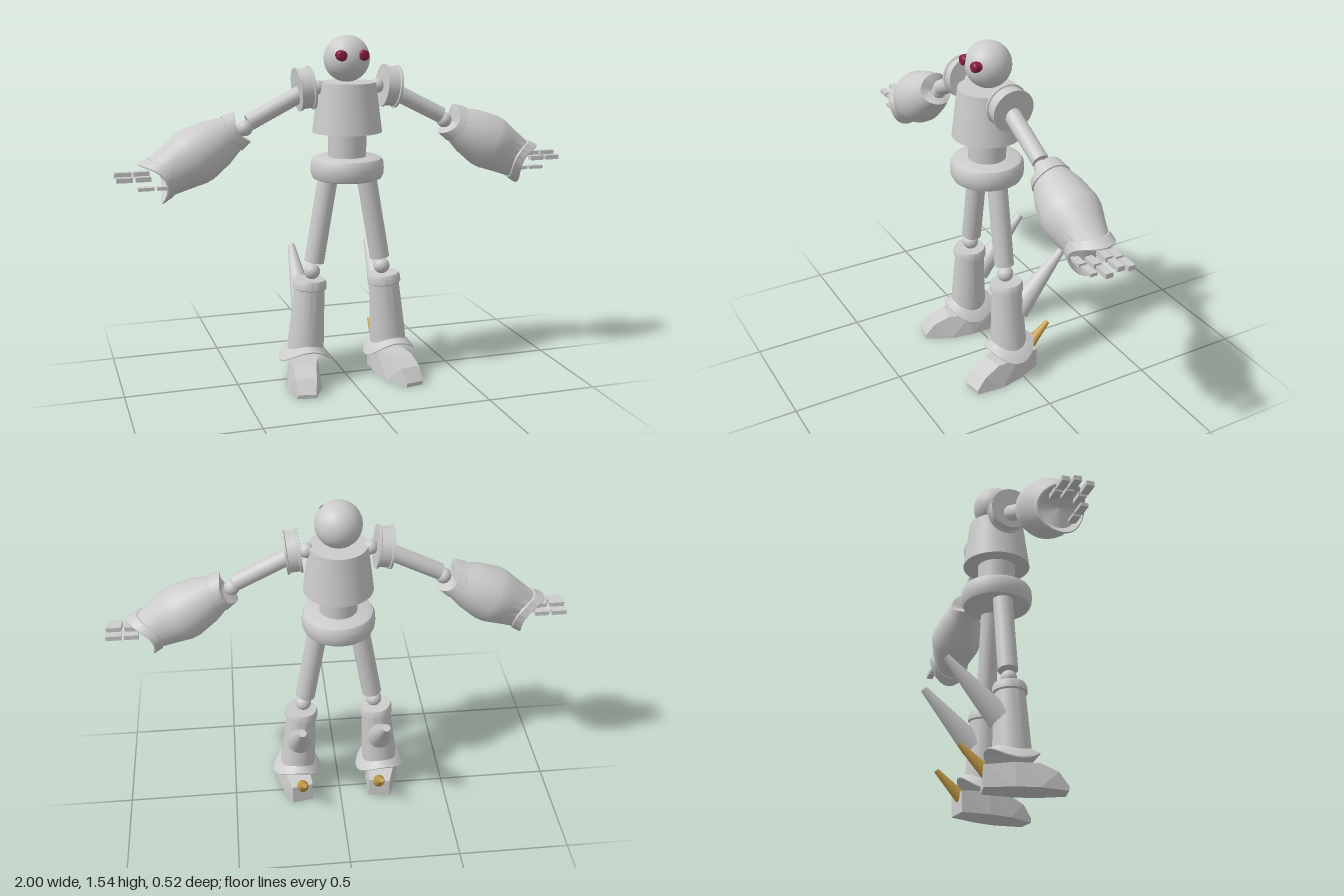
import * as THREE from 'three';
import { toCreasedNormals } from 'three/addons/utils/BufferGeometryUtils.js';
import { ConvexGeometry } from 'three/addons/geometries/ConvexGeometry.js';

const CZ = 0.037; // depth of the body axis
const grey = new THREE.MeshStandardMaterial({ color: 0xcccccc, side: THREE.DoubleSide });
const red = new THREE.MeshStandardMaterial({ color: 0x8a1c44 });
const gold = new THREE.MeshStandardMaterial({ color: 0xc8a04a });

const vec = (x, y, z = CZ) => new THREE.Vector3(x, y, z);

function add(parent, name, geometry, position, material = grey) {
  const mesh = new THREE.Mesh(geometry, material);
  mesh.name = name;
  mesh.position.copy(position);
  parent.add(mesh);
  return mesh;
}

const ball = (parent, name, r, position) =>
  add(parent, name, new THREE.SphereGeometry(r, 32, 20), position);

// Tapered round bar from point a to point b
function bar(parent, name, a, b, ra, rb, material) {
  const geometry = new THREE.CylinderGeometry(rb, ra, a.distanceTo(b), 32);
  const mesh = add(parent, name, geometry, a.clone().lerp(b, 0.5), material);
  mesh.quaternion.setFromUnitVectors(vec(0, 1, 0), b.clone().sub(a).normalize());
  return mesh;
}

// Turned shape; each point is [radius, y, lift], the lift raising front and back into a wave
function turned(points, segments = 48) {
  const geometry = new THREE.LatheGeometry(points.map(([r, y]) => new THREE.Vector2(r, y)), segments);
  const p = geometry.attributes.position;
  for (let i = 0; i < p.count; i++) {
    const [r, y, lift = 0] = points[i % points.length];
    if (r > 0) p.setY(i, y + lift * (p.getZ(i) / r) ** 2);
  }
  return toCreasedNormals(geometry, 0.5);
}

function buildBody(root) {
  ball(root, 'head', 0.1, vec(0, 1.44, 0.03));
  for (const s of [-1, 1]) {
    const eye = add(root, 'eye', turned([
      [0, 0], [0.023, 0], [0.023, 0.032], [0.018, 0.04], [0, 0.043],
    ], 24), vec(s * 0.049, 1.458, 0.092), red);
    eye.rotation.x = Math.PI / 2;
  }
  add(root, 'torso', turned([[0, 0], [0.152, 0], [0.125, 0.215], [0, 0.215]]), vec(0, 1.125));
  add(root, 'waist', new THREE.CylinderGeometry(0.086, 0.082, 0.16, 40), vec(0, 1.08));
  add(root, 'pelvis', turned([
    [0, 0], [0.135, 0], [0.15, 0.006], [0.159, 0.025], [0.161, 0.05],
    [0.159, 0.077], [0.15, 0.093], [0.135, 0.1], [0, 0.1],
  ]), vec(0, 0.917));
}

function buildArm(s) {
  const arm = new THREE.Group();
  arm.name = s > 0 ? 'leftArm' : 'rightArm';
  ball(arm, 'shoulderJoint', 0.032, vec(s * 0.135, 1.32));

  // Shoulder disc with a flange at each face
  const disc = add(arm, 'shoulderDisc', turned([
    [0, -0.033], [0.093, -0.033], [0.093, -0.024], [0.086, -0.021],
    [0.086, 0.021], [0.093, 0.024], [0.093, 0.033], [0, 0.033],
  ]), vec(s * 0.192, 1.317));
  disc.rotation.z = s * (Math.PI / 2 + 0.11) * -1;

  bar(arm, 'upperArm', vec(s * 0.19, 1.305), vec(s * 0.437, 1.18), 0.036, 0.036);
  ball(arm, 'elbow', 0.034, vec(s * 0.453, 1.158));

  // Swelling forearm with wavy cuffs, turned from wrist to elbow
  const forearm = add(arm, 'forearm', turned([
    [0, 0.075], [0.08, 0.04, 0.05], [0.095, 0, 0.06], [0.1, 0.004, 0.06],
    [0.097, 0.05, 0.05], [0.091, 0.055, 0.05], [0.108, 0.14, 0.02], [0.122, 0.205],
    [0.123, 0.24], [0.105, 0.33], [0.08, 0.4, -0.01], [0.085, 0.403, -0.01],
    [0.074, 0.455, -0.03], [0.068, 0.455, -0.03], [0, 0.42],
  ]), vec(s * 0.862, 0.94));
  forearm.rotation.z = s * 1.056;

  // Three two-piece fingers and a thumb: [start x, y, z]
  const digits = [[0.86, 0.972, 0.083], [0.86, 0.986, 0.033], [0.86, 0.975, -0.015], [0.775, 0.932, 0.092]];
  digits.forEach(([x, y, z], i) => {
    const name = i < 3 ? 'finger' : 'thumb';
    const h = i < 3 ? 0.02 : 0.014;
    add(arm, name + 'Base', new THREE.BoxGeometry(0.062, h, 0.032), vec(s * (x + 0.031), y, z));
    add(arm, name + 'Tip', new THREE.BoxGeometry(0.066, h, 0.032), vec(s * (x + 0.107), y, z));
  });
  return arm;
}

function buildLeg(s) {
  const leg = new THREE.Group();
  leg.name = s > 0 ? 'leftLeg' : 'rightLeg';
  bar(leg, 'thigh', vec(s * 0.153, 0.55), vec(s * 0.084, 0.95), 0.044, 0.044);
  ball(leg, 'knee', 0.036, vec(s * 0.163, 0.508));

  // Boot shaft with a flared wavy ankle cuff and a collar at the top
  const shin = add(leg, 'shin', turned([
    [0, 0.06], [0.1, 0.012, 0.06], [0.115, 0, 0.065], [0.116, 0.005, 0.065],
    [0.091, 0.048, 0.03], [0.081, 0.055, 0.03], [0.08, 0.1], [0.067, 0.33],
    [0.075, 0.335], [0.075, 0.358], [0.068, 0.375], [0, 0.375],
  ]), vec(s * 0.2, 0.1));
  shin.rotation.z = s * 0.075;

  // Wedge foot, turned outward: [half width, y, z]
  const corners = [
    [0.05, 0, -0.125], [0.048, 0.095, -0.125], [0.075, 0, 0], [0.065, 0.105, 0],
    [0.076, 0, 0.1], [0.05, 0.108, 0.105], [0.047, 0.075, 0.18],
    [0.042, 0, 0.22], [0.04, 0.018, 0.222],
  ];
  const points = corners.flatMap(([w, y, z]) => [vec(w, y, z), vec(-w, y, z)]);
  const foot = add(leg, 'foot', new ConvexGeometry(points), vec(s * 0.207, 0));
  foot.rotation.y = s * 0.19;

  bar(leg, 'calfSpike', vec(s * 0.187, 0.315, -0.01), vec(s * 0.185, 0.56, -0.244), 0.058, 0.016);
  bar(leg, 'heelSpur', vec(s * 0.183, 0.075, -0.065), vec(s * 0.18, 0.187, -0.181), 0.029, 0.011, gold);
  return leg;
}

export function createModel() {
  const root = new THREE.Group();
  root.name = 'robot';
  buildBody(root);
  for (const s of [-1, 1]) root.add(buildArm(s), buildLeg(s));
  return root;
}
